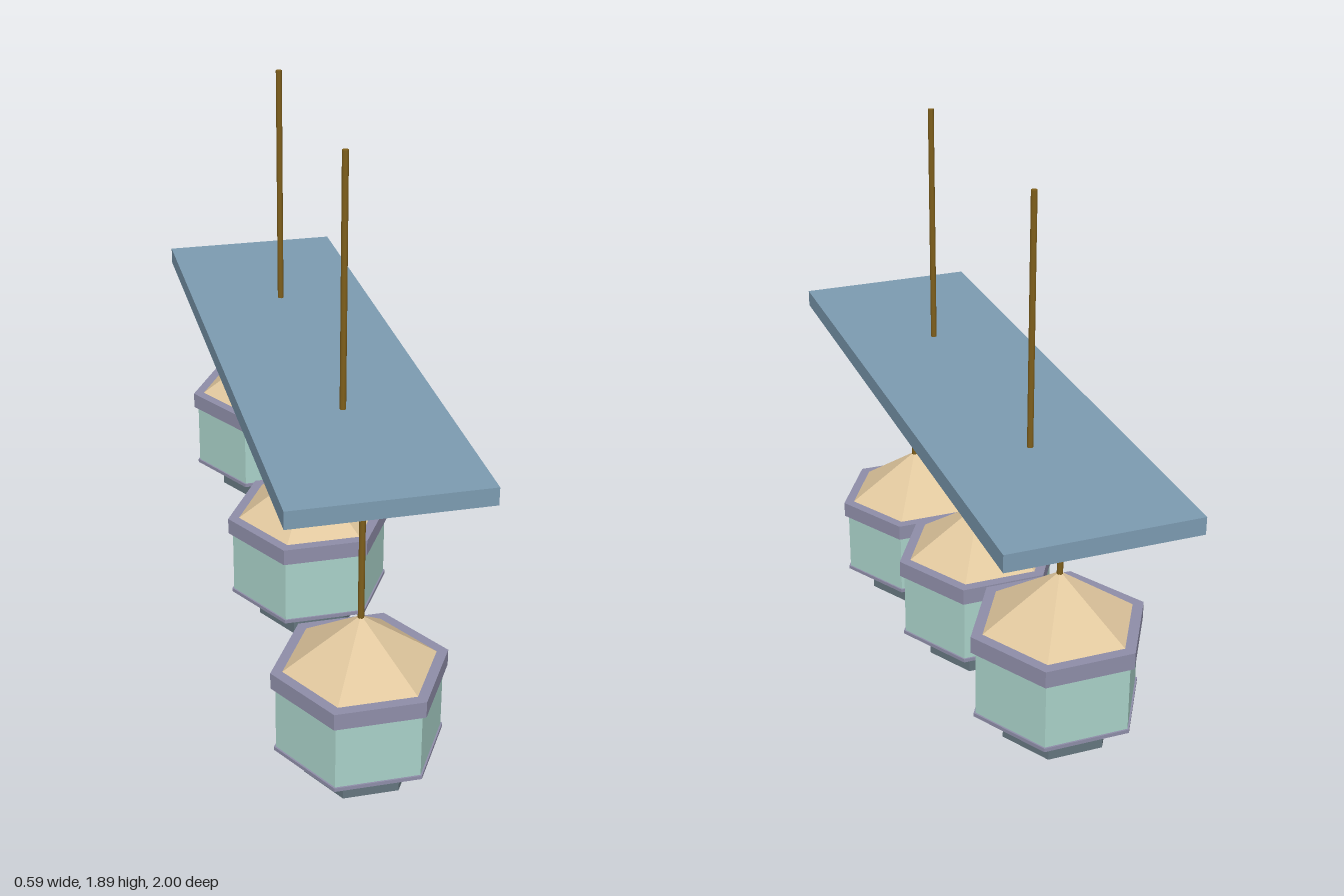
import * as THREE from 'three';

const material = (name, color) => {
  const m = new THREE.MeshStandardMaterial({ color });
  m.name = name;
  return m;
};

export function createModel() {
  const slateBlue = material('slateBlue', 0x7d9cb2);
  const brass = material('brass', 0x80601c);
  const sand = material('sand', 0xe0c79e);
  const mauve = material('mauve', 0x8f8ea9);
  const paleGreen = material('paleGreen', 0xaad2c9);
  const darkGrey = material('darkGrey', 0x65767f);
  const innerBlue = material('innerBlue', 0x5f88c8);
  const bulbYellow = material('bulbYellow', 0xd6cf70);

  const model = new THREE.Group();
  model.name = 'pendantLamp';

  const add = (parent, name, geometry, mat, x = 0, y = 0, z = 0) => {
    const mesh = new THREE.Mesh(geometry, mat);
    mesh.name = name;
    mesh.position.set(x, y, z);
    parent.add(mesh);
    return mesh;
  };

  // Faceted six-sided surface from [radius, height] points, corners on the x axis.
  // A rising profile faces outward, a falling one faces inward.
  const hex = (...points) => {
    const profile = points.map(([r, y]) => new THREE.Vector2(r, y));
    const g = new THREE.LatheGeometry(profile, 6, Math.PI / 2).toNonIndexed();
    g.computeVertexNormals();
    return g;
  };

  const rod = (parent, name, bottom, top, z) =>
    add(parent, name, new THREE.CylinderGeometry(0.01, 0.01, top - bottom, 8), brass, 0, (bottom + top) / 2, z);

  // Ceiling board and the two rods above it
  add(model, 'board', new THREE.BoxGeometry(0.59, 0.055, 2), slateBlue, 0, 1.0775, 0);
  for (const z of [0.445, -0.445]) rod(model, 'hangingRod', 1.1, 1.89, z);

  // Three lanterns, each hanging higher than the one in front
  [0, 1, 2].forEach((i) => {
    const base = i * 0.137;
    const lantern = new THREE.Group();
    lantern.name = 'lantern' + (i + 1);
    lantern.position.set(0, base, 0.69 - i * 0.69);
    model.add(lantern);

    rod(lantern, 'lanternRod', 0.53, 1.055 - base, 0);
    add(lantern, 'roof', hex([0.24, 0.379], [0, 0.545]), sand);
    add(lantern, 'upperRim', hex([0, 0.326], [0.275, 0.326], [0.275, 0.38], [0, 0.38]), mauve);

    // Shade, with its inner lining and thin lower rim
    add(lantern, 'shade', hex([0.26, 0.105], [0.26, 0.327]), paleGreen);
    add(lantern, 'shadeLining', hex([0.24, 0.326], [0.24, 0.105]), innerBlue);
    add(lantern, 'lowerRim',
      hex([0.24, 0.11], [0.24, 0.098], [0.266, 0.098], [0.266, 0.11], [0.24, 0.11]), mauve);

    // Inner tube with a recessed glowing panel
    add(lantern, 'innerTube', hex([0.148, 0], [0.173, 0], [0.173, 0.326]), darkGrey);
    add(lantern, 'innerTubeLining', hex([0.148, 0.03], [0.148, 0]), innerBlue);
    add(lantern, 'lightPanel', hex([0, 0.028], [0.149, 0.028]), bulbYellow);
  });

  return model;
}
